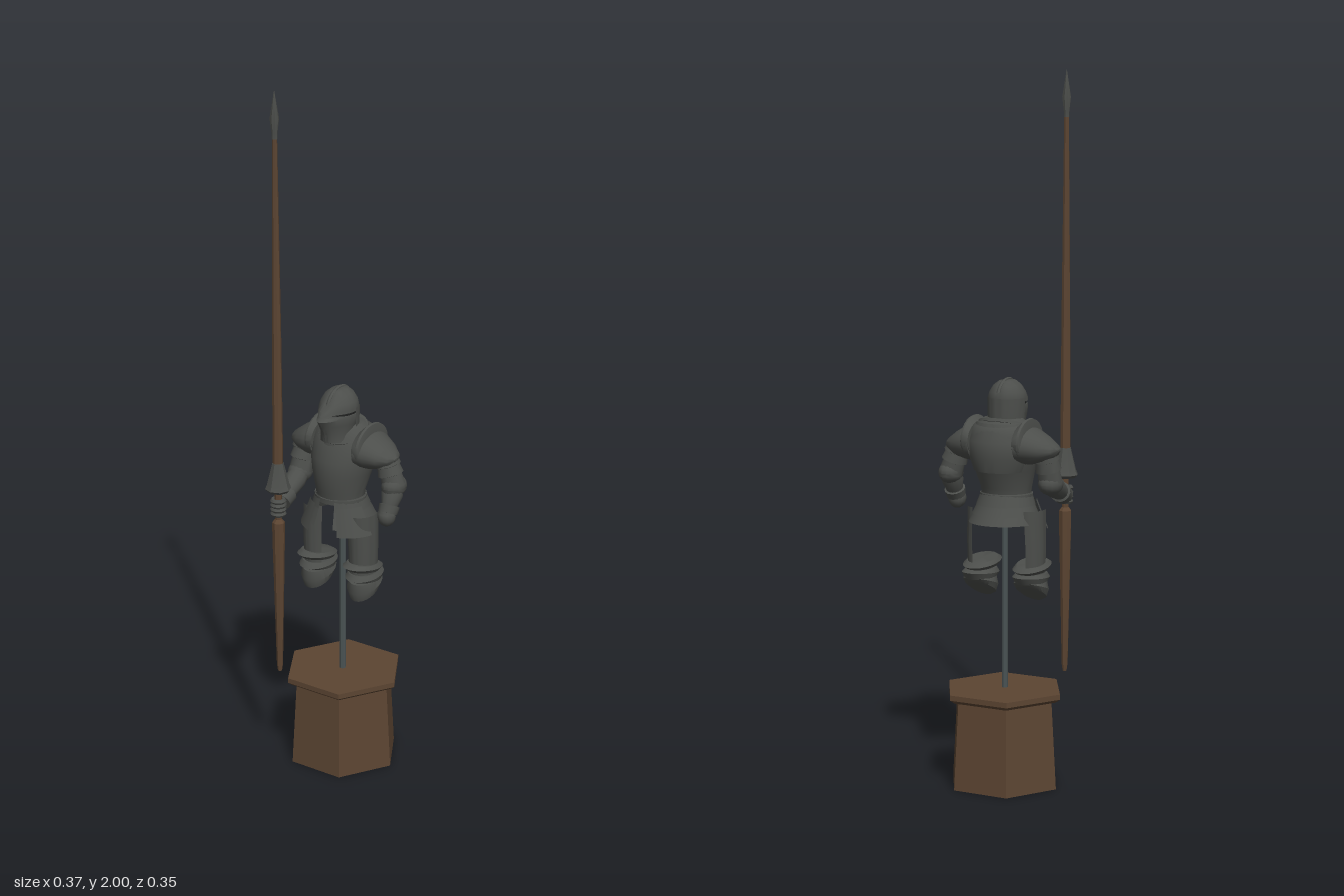
import * as THREE from 'three';
import { toCreasedNormals } from 'three/addons/utils/BufferGeometryUtils.js';

const mat = (name, color) => Object.assign(new THREE.MeshStandardMaterial({ color }), { name });

// Loft of elliptical rings [y, cx, cz, rx, rz, frontPoint, frontTilt], listed from bottom to top.
function shell(rings, { n = 24, from = 0, to = Math.PI * 2, caps = true } = {}) {
  const pos = [], idx = [], w = n + 1;
  for (const [y, cx, cz, rx, rz, point = 0, tilt = 0] of rings) {
    for (let j = 0; j <= n; j++) {
      const a = from + (to - from) * j / n, c = Math.cos(a);
      pos.push(cx + rx * Math.sin(a), y + tilt * c, cz + rz * c + point * Math.max(0, c) ** 6);
    }
  }
  for (let i = 0; i < rings.length - 1; i++) {
    for (let j = 0; j < n; j++) {
      const a = i * w + j, b = a + 1, c = b + w, d = a + w;
      idx.push(a, b, c, a, c, d);
    }
  }
  if (caps) {
    [0, rings.length - 1].forEach((i, k) => {
      const r = rings[i], m = pos.length / 3;
      pos.push(r[1], r[0], r[2]);
      for (let j = 0; j < n; j++) {
        const a = i * w + j;
        if (k) idx.push(m, a, a + 1); else idx.push(m, a + 1, a);
      }
    });
  }
  const g = new THREE.BufferGeometry();
  g.setAttribute('position', new THREE.Float32BufferAttribute(pos, 3));
  g.setIndex(idx);
  return g;
}

// Thin double-walled flared plate around the hips
const flare = (y0, y1, bottom, top, opt) => {
  const ring = (y, [cz, rx, rz], t) => [y, 0, cz, rx - t, rz - t];
  return shell([ring(y1, top, 0.006), ring(y0, bottom, 0.006), ring(y0, bottom, 0), ring(y1, top, 0)],
    { ...opt, caps: false });
};

// Limb segment between two points, with radii [t, r] along its length
function limb(a, b, radii, n = 14) {
  const p = new THREE.Vector3(...a), d = new THREE.Vector3(...b).sub(p), len = d.length();
  const g = shell(radii.map(([t, r]) => [t * len, 0, 0, r, r]), { n });
  g.applyQuaternion(new THREE.Quaternion().setFromUnitVectors(new THREE.Vector3(0, 1, 0), d.normalize()));
  return g.translate(p.x, p.y, p.z);
}

function mirrored(geo) {
  const g = geo.clone().scale(-1, 1, 1), ix = g.index.array;
  for (let i = 0; i < ix.length; i += 3) [ix[i], ix[i + 2]] = [ix[i + 2], ix[i]];
  return g;
}

export function createModel() {
  const root = new THREE.Group();
  root.name = 'armourDisplay';
  const steel = mat('darkSteel', 0x4c4e4b), wood = mat('wood', 0x5c4532);
  const slitDark = mat('shadowBlack', 0x202120), rodSteel = mat('rodSteel', 0x4a5354);

  const add = (parent, name, geo, material, crease = 0.6) => {
    geo.deleteAttribute('normal');
    const m = new THREE.Mesh(toCreasedNormals(geo, crease), material);
    m.name = name;
    parent.add(m);
    return m;
  };
  const turned = (profile, n) => shell(profile.map(([y, r]) => [y, 0, 0, r, r]), { n });

  // Hexagonal pedestal and support rod
  const stand = new THREE.Group();
  stand.name = 'stand';
  stand.position.set(-0.012, 0, -0.025);
  root.add(stand);
  add(stand, 'pedestal', turned([[0, 0.165], [0.255, 0.15]], 6).rotateY(Math.PI / 2), wood, 0.2);
  add(stand, 'pedestalTop', turned([[0.25, 0.163], [0.26, 0.177], [0.275, 0.177]], 6).rotateY(Math.PI / 2), wood, 0.2);
  add(stand, 'supportRod', turned([[0.27, 0.009], [0.835, 0.009]], 8).translate(0, 0, 0.005), rodSteel);

  // Lance
  const lance = new THREE.Group();
  lance.name = 'lance';
  lance.position.set(-0.121, 0, 0.139);
  root.add(lance);
  add(lance, 'lanceButt', turned([[0.3, 0.006], [0.32, 0.009], [0.72, 0.018], [0.765, 0.018], [0.775, 0.01]], 8), wood);
  add(lance, 'lanceGrip', turned([[0.77, 0.01], [0.87, 0.01]], 8), wood);
  add(lance, 'lanceShaft', turned([[0.93, 0.015], [1.3, 0.013], [1.88, 0.007]], 8), wood);
  add(lance, 'handGuard', turned([[0.86, 0.03], [0.868, 0.037], [0.88, 0.032], [0.945, 0.016]], 8), steel);
  add(lance, 'lanceTip', turned([[1.87, 0.008], [1.885, 0.008], [1.925, 0.013], [2, 0.0005]], 8), steel);

  // Suit of armour
  const suit = new THREE.Group();
  suit.name = 'suitOfArmour';
  suit.position.x = -0.012;
  root.add(suit);
  const part = (name, geo, material = steel) => add(suit, name, geo, material);
  const pair = (name, geo) => {
    const other = mirrored(geo);
    part(name + 'Left', geo);
    part(name + 'Right', other);
  };

  // Cuirass
  part('cuirass', shell([
    [0.825, 0, -0.01, 0.07, 0.064], [0.85, 0, -0.01, 0.073, 0.068], [0.9, 0, -0.018, 0.085, 0.084],
    [0.945, 0, -0.027, 0.096, 0.09], [0.99, 0, -0.036, 0.1, 0.084],
    [1.025, 0, -0.036, 0.084, 0.07], [1.045, 0, -0.03, 0.055, 0.05]], { n: 32 }));
  part('backPlate', shell([
    [0.9, 0, -0.045, 0.075, 0.07], [0.94, 0, -0.045, 0.09, 0.08],
    [0.985, 0, -0.045, 0.095, 0.08], [1.035, 0, -0.042, 0.07, 0.058]],
    { from: Math.PI * 0.55, to: Math.PI * 1.45, caps: false }));
  part('neckRim', shell([
    [1.012, 0, -0.02, 0.072, 0.06, 0, -0.022], [1.02, 0, -0.02, 0.078, 0.068, 0, -0.022],
    [1.028, 0, -0.02, 0.074, 0.064, 0, -0.022]]));
  part('gorget', shell([
    [0.99, 0, -0.012, 0.065, 0.06], [1.02, 0, -0.005, 0.046, 0.05], [1.05, 0, -0.002, 0.043, 0.046]]));

  // Helmet
  const tall = [[1.005, 0, 0.006, 0.046, 0.05, 0.008], [1.03, 0, 0.004, 0.045, 0.05, 0.015],
    [1.055, 0, 0, 0.052, 0.057, 0.025], [1.074, 0, -0.002, 0.055, 0.059, 0.038],
    [1.082, 0, -0.002, 0.054, 0.058, 0.022]];
  part('visor', shell(tall, { n: 32 }));
  part('eyeSlit', shell([[1.08, 0, -0.002, 0.051, 0.054], [1.095, 0, -0.002, 0.051, 0.054]]), slitDark);
  part('skull', shell([
    [1.09, 0, -0.002, 0.055, 0.059, 0.028], [1.098, 0, -0.002, 0.055, 0.059, 0.022],
    [1.115, 0, -0.004, 0.05, 0.055, 0.004], [1.134, 0, -0.004, 0.038, 0.044],
    [1.146, 0, -0.004, 0.022, 0.03], [1.15, 0, -0.004, 0.004, 0.008]], { n: 32 }));
  part('helmetBack', shell([
    [1.02, 0, -0.008, 0.052, 0.052], [1.06, 0, -0.006, 0.055, 0.056], [1.1, 0, -0.004, 0.056, 0.058]],
    { from: Math.PI * 0.5, to: Math.PI * 1.5, caps: false }));
  part('helmetComb', new THREE.TorusGeometry(0.058, 0.006, 6, 24, Math.PI * 0.8)
    .rotateZ(Math.PI * 0.12).rotateY(Math.PI / 2).scale(1, 0.92, 1).translate(0, 1.096, -0.004));

  // Pauldrons with raised inner flanges
  const sideways = (rings) => shell(rings).rotateZ(-Math.PI / 2);
  pair('pauldron', sideways([
    [0.07, -0.975, -0.036, 0.054, 0.076], [0.1, -0.972, -0.036, 0.05, 0.072],
    [0.135, -0.966, -0.034, 0.036, 0.055], [0.163, -0.963, -0.032, 0.018, 0.032], [0.175, -0.965, -0.03, 0.003, 0.008]]));
  pair('pauldronFlange', sideways([
    [0.068, -0.985, -0.037, 0.05, 0.075], [0.084, -0.985, -0.037, 0.064, 0.078],
    [0.09, -0.985, -0.037, 0.062, 0.076], [0.094, -0.982, -0.037, 0.045, 0.07]]));

  // Hip skirt plates and front tassets
  const open = { from: 0.32, to: Math.PI * 2 - 0.32, n: 32 };
  part('belt', shell([[0.818, 0, -0.01, 0.076, 0.07], [0.832, 0, -0.01, 0.076, 0.07]]));
  [[0.8, 0.835, [-0.014, 0.084, 0.08], [-0.01, 0.072, 0.068]],
    [0.775, 0.808, [-0.017, 0.093, 0.091], [-0.013, 0.079, 0.075]],
    [0.752, 0.782, [-0.02, 0.101, 0.102], [-0.016, 0.088, 0.086]]]
    .forEach(([y0, y1, b, t], i) => part('skirtPlate' + (i + 1), flare(y0, y1, b, t, open)));
  pair('tasset', flare(0.735, 0.815, [-0.016, 0.122, 0.106], [-0.01, 0.086, 0.082], { from: 0.42, to: 1.35, n: 10 }));

  // Legs: open thigh plates, knee lames and rounded knee caps
  pair('thighPlate', shell([
    [0.6, 0.078, -0.01, 0.038, 0.044], [0.69, 0.078, -0.01, 0.04, 0.048], [0.79, 0.074, -0.01, 0.042, 0.052]],
    { from: -0.9, to: Math.PI * 0.95, caps: false }));
  pair('kneeLameUpper', shell([
    [0.618, 0.079, -0.006, 0.044, 0.056, 0, 0.008], [0.628, 0.079, -0.006, 0.05, 0.07, 0, 0.01],
    [0.638, 0.079, -0.006, 0.042, 0.052, 0, 0.008]]));
  pair('kneeLameLower', shell([
    [0.588, 0.08, -0.012, 0.045, 0.056, 0, 0.004], [0.6, 0.08, -0.014, 0.049, 0.066, 0, -0.004],
    [0.611, 0.08, -0.012, 0.042, 0.052, 0, 0]]));
  pair('kneeCap', shell([
    [0.548, 0.08, -0.012, 0.03, 0.034, 0, -0.022], [0.555, 0.08, -0.014, 0.042, 0.048, 0, -0.026],
    [0.572, 0.08, -0.014, 0.048, 0.056, 0, -0.018], [0.59, 0.08, -0.012, 0.042, 0.05, 0, -0.008]]));

  // Arms: stepped upper lames, elbow cops, forearms and gauntlets
  const lames = [[0, 0.031], [0.3, 0.037], [0.32, 0.032], [0.6, 0.037], [0.62, 0.031], [1, 0.034]];
  const cuff = [[0, 0.027], [0.3, 0.031], [0.7, 0.024], [0.72, 0.03], [1, 0.027]];
  const ball = (p, rx, ry, rz) => new THREE.SphereGeometry(1, 14, 10).scale(rx, ry, rz).translate(...p);
  const arms = [
    ['left', [0.135, 0.965, -0.035], [0.162, 0.88, -0.038], [0.165, 0.81, -0.002]],
    ['right', [-0.13, 0.965, -0.03], [-0.136, 0.865, -0.005], [-0.118, 0.815, 0.112]]];
  for (const [side, shoulder, elbow, hand] of arms) {
    part(side + 'UpperArm', limb(shoulder, elbow, lames));
    part(side + 'Elbow', ball(elbow, 0.034, 0.032, 0.042));
    part(side + 'Forearm', limb(elbow, hand, cuff));
  }
  part('leftFist', ball([0.163, 0.802, 0], 0.026, 0.03, 0.026));
  part('rightFist', ball([-0.112, 0.812, 0.132], 0.022, 0.026, 0.024));
  for (let i = 0; i < 4; i++) {
    part('rightFinger' + (i + 1), new THREE.TorusGeometry(0.016, 0.007, 6, 12)
      .rotateX(Math.PI / 2).translate(-0.109, 0.792 + i * 0.013, 0.139));
  }
  return root;
}
